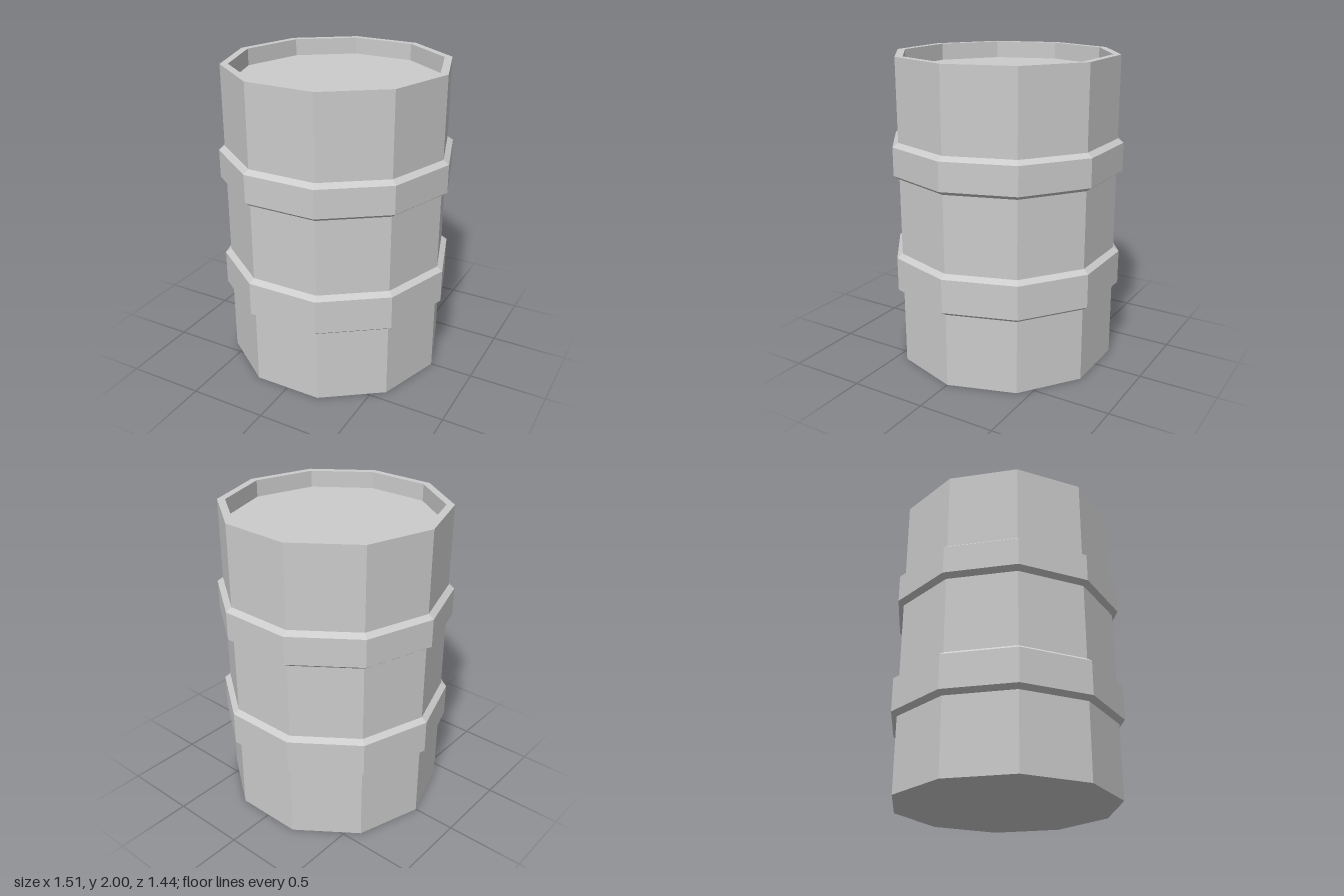
import * as THREE from 'three';

const SIDES = 10;
const BODY_R = 0.72, HOOP_R = 0.757, RIM_R = 0.67;
const HEIGHT = 2, LID_Y = 1.89, BEVEL = 0.026;

const material = new THREE.MeshStandardMaterial({ color: 0xcccccc, flatShading: true });

// Ten-sided turned part from [radius, height] pairs, with corners on the x axis
function turned(name, profile) {
  const points = profile.map(([r, y]) => new THREE.Vector2(r, y));
  const mesh = new THREE.Mesh(new THREE.LatheGeometry(points, SIDES, Math.PI / 2), material);
  mesh.name = name;
  return mesh;
}

export function createModel() {
  const barrel = new THREE.Group();
  barrel.name = 'barrel';

  // Wall with two bevelled hoops, given by bottom and top height
  const wall = [[BODY_R, 0]];
  for (const [bottom, top] of [[0.483, 0.753], [1.246, 1.479]]) {
    wall.push([BODY_R, bottom], [HOOP_R, bottom + BEVEL], [HOOP_R, top - BEVEL], [BODY_R, top]);
  }
  wall.push([BODY_R, HEIGHT]);

  barrel.add(
    turned('hoopedWall', wall),
    turned('base', [[0, 0], [BODY_R, 0]]),
    turned('rim', [[BODY_R, HEIGHT], [RIM_R, HEIGHT], [RIM_R, LID_Y]]),
    turned('recessedLid', [[RIM_R, LID_Y], [0, LID_Y]])
  );
  return barrel;
}
